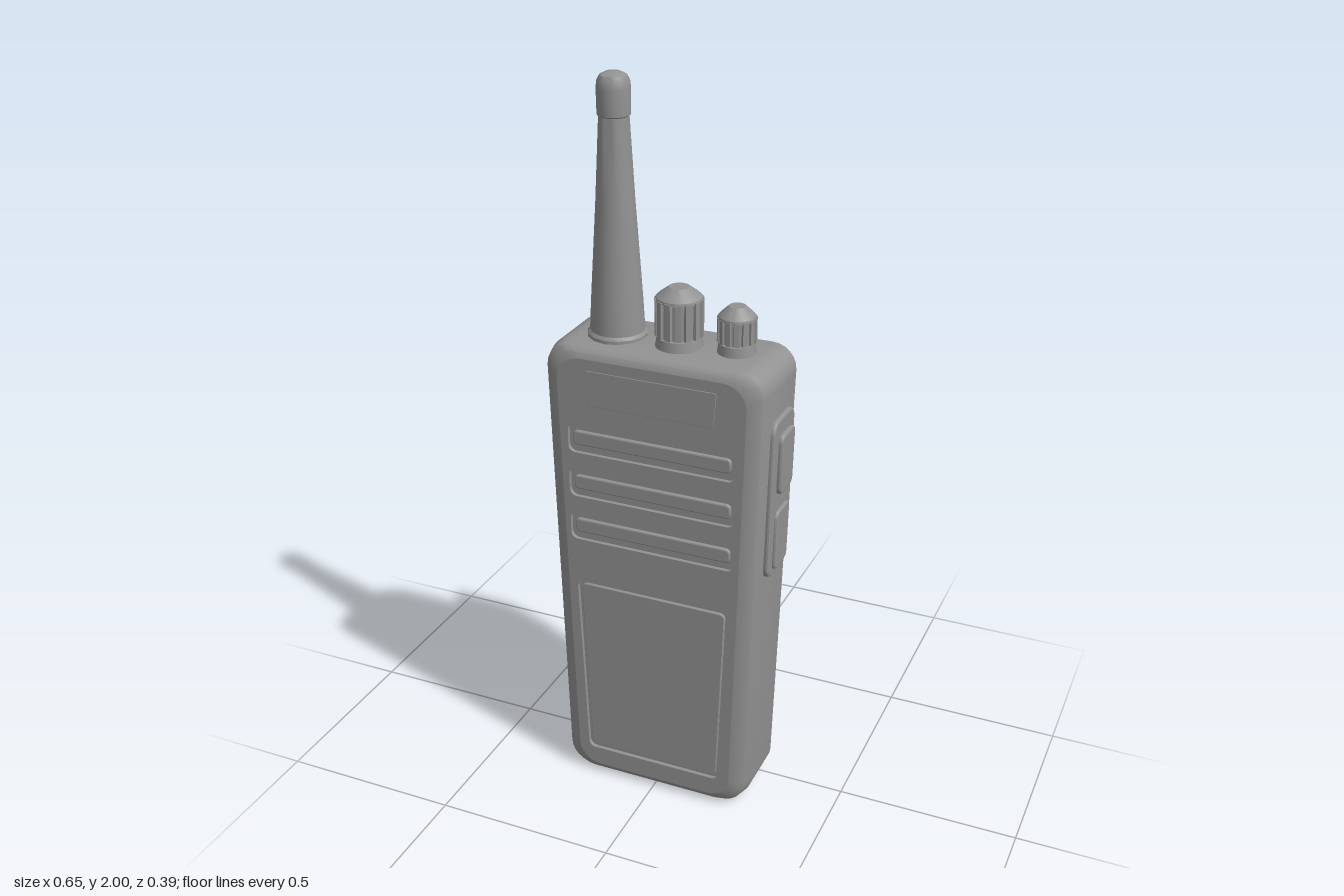
import * as THREE from 'three';
import { toCreasedNormals } from 'three/addons/utils/BufferGeometryUtils.js';

const darkGrey = new THREE.MeshStandardMaterial({ color: 0x929292 });

function add(parent, name, geo, x = 0, y = 0, z = 0) {
  const m = new THREE.Mesh(geo, darkGrey);
  m.name = name;
  m.position.set(x, y, z);
  parent.add(m);
  return m;
}

// Rounded trapezoid, counter-clockwise, with half widths at bottom and top
function quad(wb, wt, y0, y1, r, n = 5) {
  const pts = [];
  const centres = [[wb - r, y0 + r], [wt - r, y1 - r], [r - wt, y1 - r], [r - wb, y0 + r]];
  centres.forEach(([cx, cy], k) => {
    for (let i = 0; i <= n; i++) {
      const a = (k - 1 + i / n) * Math.PI / 2;
      pts.push(new THREE.Vector2(cx + r * Math.cos(a), cy + r * Math.sin(a)));
    }
  });
  return pts;
}

// Skin through rings of equal point count
function loft(rings, capped) {
  const n = rings[0].length, index = [], last = (rings.length - 1) * n;
  for (let i = 0; i < rings.length - 1; i++) {
    for (let j = 0; j < n; j++) {
      const a = i * n + j, b = i * n + (j + 1) % n;
      index.push(a, a + n, b, b, a + n, b + n);
    }
  }
  if (capped) for (let j = 1; j < n - 1; j++) index.push(0, j, j + 1, last, last + j + 1, last + j);
  const g = new THREE.BufferGeometry();
  g.setAttribute('position', new THREE.Float32BufferAttribute(rings.flat().flatMap(p => [p.x, p.y, p.z]), 3));
  g.setIndex(index);
  return toCreasedNormals(g, 0.6);
}

// Plate with a bevelled front edge, its face at z = depth
function slab(pts, depth, bevel = 0.006) {
  const g = new THREE.ExtrudeGeometry(new THREE.Shape(pts), {
    depth: depth - bevel, bevelThickness: bevel, bevelSize: bevel, bevelOffset: -bevel, bevelSegments: 2,
  });
  return toCreasedNormals(g, 0.35);
}

// Flat plate with openings
function plate(pts, holes, depth) {
  const s = new THREE.Shape(pts);
  s.holes = holes.map(h => new THREE.Path(h));
  return new THREE.ExtrudeGeometry(s, { depth, bevelEnabled: false });
}

const lathe = (pts, seg, crease = 0.6) =>
  toCreasedNormals(new THREE.LatheGeometry(pts.map(p => new THREE.Vector2(...p)), seg), crease);

// Body outline, pulled in at the sides, top and bottom
const outline = (ix, top, bottom, r = 0.065) => quad(0.275 - ix, 0.307 - ix, 0.005 + bottom, 1.322 - top, r, 6);

// The back leans in slightly towards the bottom
function lean(g) {
  const p = g.attributes.position;
  for (let i = 0; i < p.count; i++) {
    if (p.getZ(i) < 0) p.setZ(i, p.getZ(i) + 0.02 * (1 - p.getY(i) / 1.32));
  }
  g.computeVertexNormals();
  return g;
}

function buildBody(root) {
  const body = new THREE.Group();
  body.name = 'body';
  root.add(body);

  // Shell from front to back: z, then insets at side, top and bottom, and corner radius
  const levels = [
    [0.19, 0.045, 0.03, 0.025], [0.184, 0.025, 0.014, 0.012], [0.17, 0.009, 0.004, 0.004], [0.13, 0, 0, 0],
    [-0.045, 0, 0, 0], [-0.06, 0.01, 0.008, 0.012, 0.06], [-0.098, 0.053, 0.04, 0.048, 0.03],
    [-0.11, 0.07, 0.055, 0.065, 0.02],
  ];
  const rings = levels.map(([z, ...inset]) => outline(...inset).map(p =>
    new THREE.Vector3(p.x, p.y, z < 0 ? z + 0.02 * (1 - p.y / 1.32) : z)));
  add(body, 'shell', loft(rings));

  // Front face with openings for the grille slots and the lower panel
  const face = outline(0.045, 0.03, 0.025);
  const slots = [1.065, 0.935, 0.805];
  const openings = slots.map(y => quad(0.235, 0.235, y - 0.042, y + 0.042, 0.02));
  openings.push(quad(0.2, 0.22, 0.085, 0.635, 0.02));
  add(body, 'frontFace', plate(face, openings, 0.012), 0, 0, 0.178);
  add(body, 'frontRecessFloor', new THREE.ShapeGeometry(new THREE.Shape(face)), 0, 0, 0.179);
  for (const y of slots) {
    add(body, 'grilleBar', slab(quad(0.222, 0.222, y - 0.02, y + 0.02, 0.012), 0.011, 0.004), 0, 0, 0.178);
  }
  add(body, 'lowerPanel', slab(quad(0.19, 0.21, 0.095, 0.625, 0.015), 0.01, 0.002), 0, 0, 0.178);
  add(body, 'namePlate', slab(quad(0.175, 0.182, 1.165, 1.262, 0.006), 0.003, 0.001), 0, 0, 0.189);

  // Back face with the battery latch recess
  const back = outline(0.07, 0.055, 0.065, 0.02);
  const latch = quad(0.185, 0.185, 0.09, 0.215, 0.02);
  add(body, 'backFace', lean(plate(back, [latch], 0.018).translate(0, 0, -0.11)));
  const floor = new THREE.ShapeGeometry(new THREE.Shape(quad(0.19, 0.19, 0.085, 0.22, 0.02)));
  add(body, 'latchRecessFloor', lean(floor.rotateY(Math.PI).translate(0, 0, -0.093)));

  // Charging contacts underneath
  for (const x of [-0.11, 0, 0.11]) {
    add(body, 'chargingContact', new THREE.CylinderGeometry(0.034, 0.034, 0.008, 24), x, 0.006, 0.06);
    add(body, 'contactRim', new THREE.TorusGeometry(0.039, 0.004, 6, 24).rotateX(Math.PI / 2), x, 0.005, 0.06);
  }
}

// Side keys: name, centre z, half width, bottom, top, height, corner radius
function buildSide(root, side, name, keys) {
  const group = new THREE.Group();
  group.name = name;
  group.rotation.z = -side * 0.024;
  root.add(group);
  for (const [part, z, w, y0, y1, h, r] of keys) {
    add(group, part, slab(quad(w, w, y0, y1, r), h), side * 0.27, 0, z).rotation.y = side * Math.PI / 2;
  }
}

function buildKnob(root, name, x, z, r, top) {
  const knob = new THREE.Group();
  knob.name = name;
  knob.position.set(x, 0, z);
  root.add(knob);
  add(knob, 'collar', new THREE.CylinderGeometry(r * 0.92, r, 0.03, 28), 0, 1.333, 0);
  // Fluted grip
  const pts = [], flutes = 14, y = top - 0.03;
  for (let i = 0; i < flutes; i++) {
    [[0, 1], [0.55, 1], [0.65, 0.89], [0.9, 0.89]].forEach(([t, k]) => {
      const a = (i + t) / flutes * Math.PI * 2;
      pts.push(new THREE.Vector2(Math.cos(a) * r * k, Math.sin(a) * r * k));
    });
  }
  const grip = new THREE.ExtrudeGeometry(new THREE.Shape(pts), { depth: y - 1.352, bevelEnabled: false });
  add(knob, 'grip', grip.rotateX(-Math.PI / 2), 0, 1.352, 0);
  add(knob, 'cap', lathe([[r * 0.96, y - 0.004], [r * 0.94, y + 0.004], [r * 0.8, y + 0.012], [r * 0.42, top],
    [0, top]], 28, 0.3));
}

function buildAntenna(root) {
  const antenna = new THREE.Group();
  antenna.name = 'antenna';
  antenna.position.set(-0.147, 0, 0.062);
  root.add(antenna);
  add(antenna, 'antennaCollar', lathe([[0.079, 1.31], [0.079, 1.33], [0.073, 1.338], [0, 1.338]], 14));
  add(antenna, 'antennaRod', lathe([[0.072, 1.33], [0.067, 1.42], [0.05, 1.68], [0.038, 1.9]], 24));
  add(antenna, 'antennaTip', lathe([[0.036, 1.89], [0.042, 1.895], [0.043, 1.96], [0.041, 1.978],
    [0.034, 1.991], [0.02, 1.998], [0, 2]], 24));
}

function buildClip(root) {
  const clip = new THREE.Group();
  clip.name = 'beltClip';
  root.add(clip);
  add(clip, 'clipMount', slab(quad(0.165, 0.165, 1.075, 1.185, 0.025), 0.03), 0, 0, -0.1).rotation.y = Math.PI;
  add(clip, 'hingeBlock', slab(quad(0.112, 0.112, 1.1, 1.165, 0.015), 0.045), 0, 0, -0.125).rotation.y = Math.PI;
  add(clip, 'hingePin', new THREE.CylinderGeometry(0.026, 0.026, 0.23, 18).rotateZ(Math.PI / 2), 0, 1.125, -0.148);

  // Spring blade from top to bottom: y, half width, centre z
  const blade = [[1.205, 0.102, -0.18], [1.198, 0.108, -0.181], [1.18, 0.109, -0.182], [1, 0.107, -0.18],
    [0.9, 0.105, -0.17], [0.6, 0.1, -0.136], [0.5, 0.098, -0.124], [0.47, 0.09, -0.121], [0.458, 0.072, -0.12]];
  const t = 0.012, c = 0.008;
  const rings = blade.map(([y, w, z]) => [
    [w, t], [w, c - t], [w - c, -t], [c - w, -t], [-w, c - t], [-w, t],
  ].map(([x, dz]) => new THREE.Vector3(x, y, z + dz)));
  add(clip, 'clipBlade', loft(rings, true));
}

export function createModel() {
  const root = new THREE.Group();
  root.name = 'handheldRadio';
  buildBody(root);
  buildSide(root, 1, 'leftKeys', [
    ['keyFrame', 0.053, 0.075, 0.725, 1.18, 0.018, 0.035],
    ['upperKey', 0.048, 0.047, 0.965, 1.135, 0.03, 0.02],
    ['lowerKey', 0.048, 0.047, 0.74, 0.915, 0.026, 0.02],
  ]);
  buildSide(root, -1, 'rightKeys', [
    ['talkFrame', 0.05, 0.075, 0.86, 1.19, 0.013, 0.025],
    ['talkKey', 0.05, 0.062, 0.88, 1.17, 0.028, 0.02],
    ['smallFrame', 0.05, 0.075, 0.695, 0.835, 0.013, 0.025],
    ['smallKey', 0.05, 0.062, 0.71, 0.82, 0.028, 0.02],
  ]);
  buildAntenna(root);
  buildKnob(root, 'channelKnob', 0.03, 0.07, 0.063, 1.48);
  buildKnob(root, 'volumeKnob', 0.18, 0.052, 0.051, 1.445);
  buildClip(root);
  return root;
}
